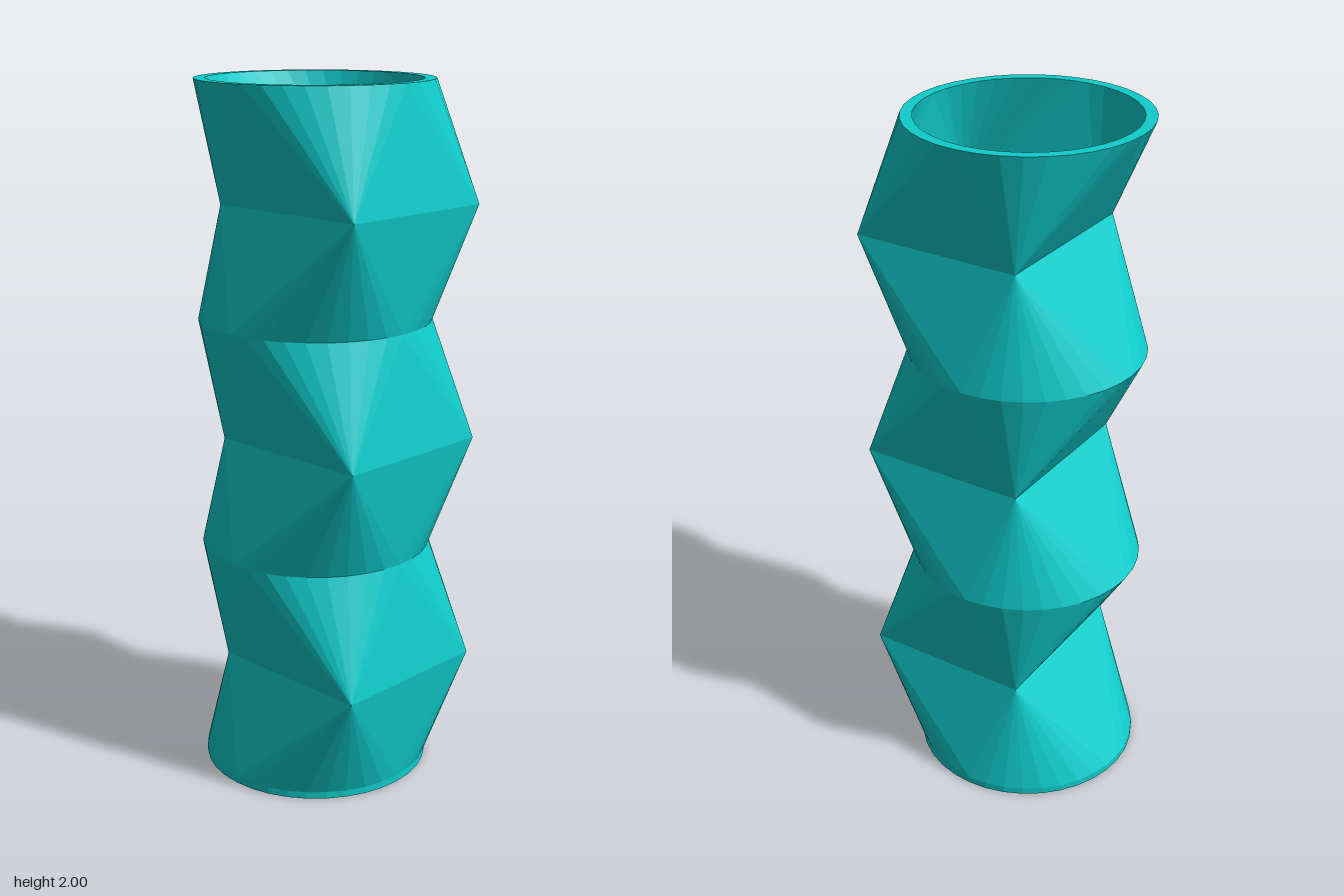
import * as THREE from 'three';

const STEPS = 9; // circle segments per quadrant
const ROUND_Z = -0.025, SQUARE_Z = 0.107;

// Loop of points in four quadrants; a square repeats each corner so it lofts to a circle as a fan
function ring(y, size, square) {
  const points = [];
  for (let q = 0; q < 4; q++) {
    for (let i = 0; i <= STEPS; i++) {
      const a = (q + (square ? 0.5 : i / STEPS)) * Math.PI / 2;
      const r = square ? size * Math.SQRT2 : size;
      points.push(new THREE.Vector3(r * Math.cos(a), y, r * Math.sin(a) + (square ? SQUARE_Z : ROUND_Z)));
    }
  }
  return points;
}

// Skins a closed sequence of rings, skipping collapsed triangles
function skin(rings) {
  const pos = [];
  const tri = (a, b, c) => {
    if (new THREE.Triangle(a, b, c).getArea() > 1e-7) {
      for (const p of [a, b, c]) pos.push(p.x, p.y, p.z);
    }
  };
  rings.forEach((low, k) => {
    const up = rings[(k + 1) % rings.length];
    low.forEach((a, i) => {
      const j = (i + 1) % low.length;
      tri(a, up[i], up[j]);
      tri(a, up[j], low[j]);
    });
  });
  const geometry = new THREE.BufferGeometry();
  geometry.setAttribute('position', new THREE.Float32BufferAttribute(pos, 3));
  geometry.computeVertexNormals();
  return geometry;
}

export function createModel() {
  const group = new THREE.Group();
  group.name = 'twistedTube';

  // Outer wall upward, then inner wall downward; the skin closes both rims
  const outer = [ring(0, 0.33, false)];
  const inner = [ring(0, 0.298, false)];
  for (let i = 0; i <= 6; i++) {
    const y = 0.02 + i * 0.33, square = i % 2 === 1;
    outer.push(ring(y, square ? 0.248 : 0.33, square));
    inner.push(ring(y, square ? 0.216 : 0.298, square));
  }

  const material = new THREE.MeshStandardMaterial({ color: 0x10cccc, flatShading: true });
  const wall = new THREE.Mesh(skin([...outer, ...inner.reverse()]), material);
  wall.name = 'tubeWall';
  group.add(wall);
  return group;
}
